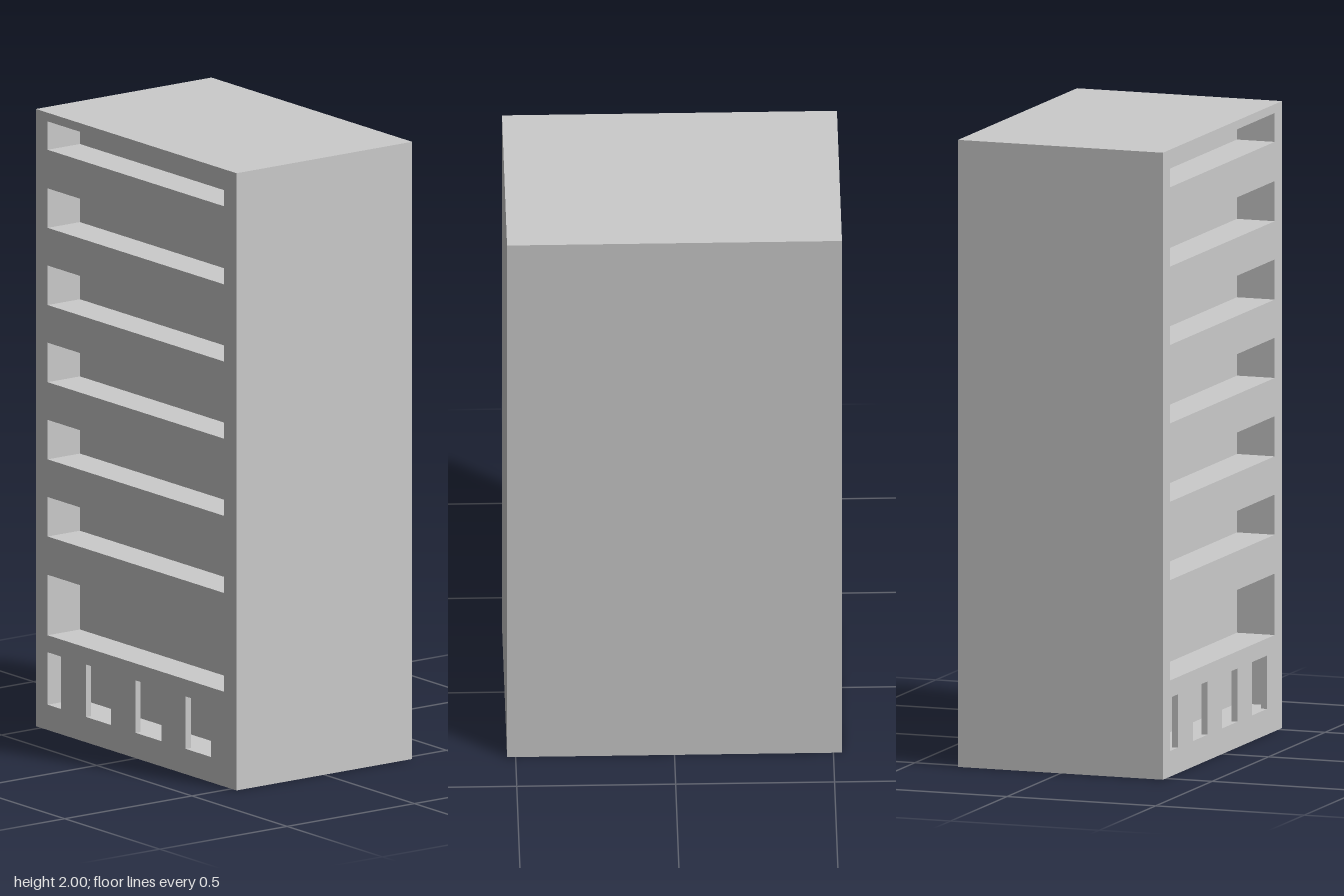
import * as THREE from 'three';

const W = 1.054, H = 2, D = 0.69;
const LEFT = -0.465, RIGHT = 0.462;
const FACADE = 0.02, RECESS = 0.127;

// Storey openings as [bottom, top]
const storeys = [[0.307, 0.503]];
for (let i = 0; i < 5; i++) storeys.push([0.627 + i * 0.25, 0.755 + i * 0.25]);
storeys.push([1.88, 1.972]);

// Ground floor openings as [left, right]
const GROUND = [0.082, 0.252];
const doors = [[LEFT, -0.395], [-0.263, -0.132], [-0.003, 0.134], [0.26, 0.394]];

const material = new THREE.MeshStandardMaterial({ color: 0xcccccc });

function rectangle(path, x0, x1, y0, y1) {
  path.moveTo(x0, y0);
  path.lineTo(x1, y0);
  path.lineTo(x1, y1);
  path.lineTo(x0, y1);
  path.closePath();
  return path;
}

// Full-size wall layer pierced by rectangular holes [x0, x1, y0, y1]
function layer(name, holes, depth, z) {
  const shape = rectangle(new THREE.Shape(), -W / 2, W / 2, 0, H);
  for (const h of holes) shape.holes.push(rectangle(new THREE.Path(), ...h));
  const geometry = new THREE.ExtrudeGeometry(shape, { depth, bevelEnabled: false });
  const mesh = new THREE.Mesh(geometry, material);
  mesh.name = name;
  mesh.position.z = z;
  return mesh;
}

export function createModel() {
  const group = new THREE.Group();
  group.name = 'building';

  const bands = storeys.map(([y0, y1]) => [LEFT, RIGHT, y0, y1]);
  const doorways = doors.map(([x0, x1]) => [x0, x1, ...GROUND]);

  // Thin front wall with long windows and separate doorways
  group.add(layer('facade', [...bands, ...doorways], FACADE, D / 2 - FACADE));

  // Floor slabs and side walls; the ground floor is one long gallery
  group.add(layer('floorsAndSideWalls', [...bands, [LEFT, RIGHT, ...GROUND]],
    RECESS - FACADE, D / 2 - RECESS));

  // Solid block behind the recesses
  const core = new THREE.Mesh(new THREE.BoxGeometry(W, H, D - RECESS), material);
  core.name = 'rearBlock';
  core.position.set(0, H / 2, -RECESS / 2);
  group.add(core);

  return group;
}
